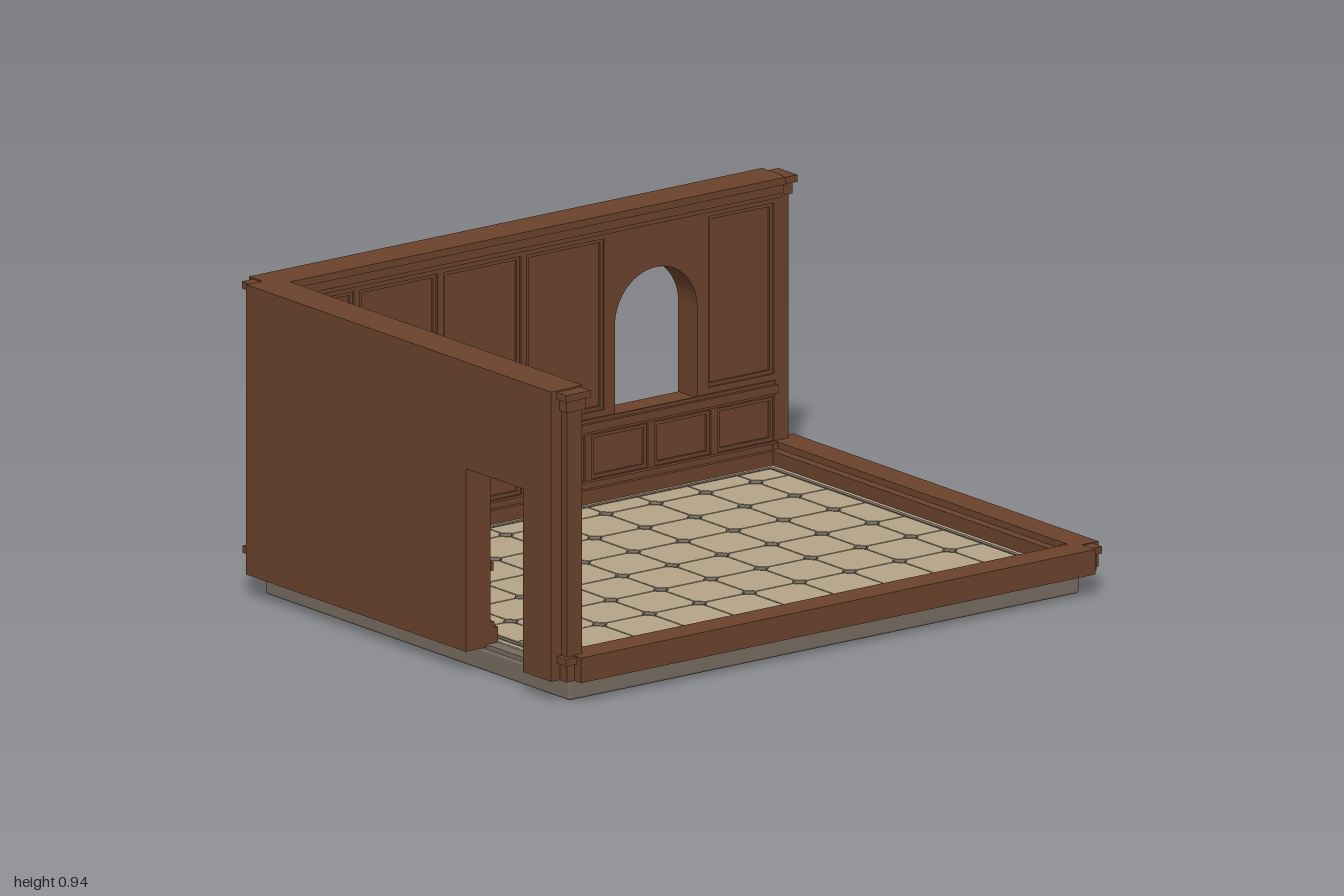
import * as THREE from 'three';
import { RoundedBoxGeometry } from 'three/addons/geometries/RoundedBoxGeometry.js';

const mat = (name, color) => Object.assign(new THREE.MeshStandardMaterial({ color }), { name });

export function createModel() {
  const wood = mat('brown wood', 0x6b422c);
  const stone = mat('grey stone', 0x766c60);
  const tile = mat('beige tile', 0xb5a488);
  const room = new THREE.Group();
  room.name = 'room';

  const add = (parent, name, geometry, material) => {
    const m = new THREE.Mesh(geometry, material);
    m.name = name;
    parent.add(m);
    return m;
  };
  // box given by its min and max on each axis
  const box = (parent, name, material, x0, x1, y0, y1, z0, z1) => {
    const m = add(parent, name, new THREE.BoxGeometry(x1 - x0, y1 - y0, z1 - z0), material);
    m.position.set((x0 + x1) / 2, (y0 + y1) / 2, (z0 + z1) / 2);
    return m;
  };
  const poly = (pts, Type = THREE.Shape) => new Type(pts.map(p => new THREE.Vector2(...p)));
  const rect = ([x0, x1, y0, y1], Type) => poly([[x0, y0], [x1, y0], [x1, y1], [x0, y1]], Type);
  const plate = (parent, name, material, shape, z0, z1) => {
    const g = new THREE.ExtrudeGeometry(shape, { depth: z1 - z0, bevelEnabled: false, curveSegments: 16 });
    return add(parent, name, g.translate(0, 0, z0), material);
  };

  // ---- walls: drawn in (u, y), outer face at depth 0, room side towards +z
  const RECESS = 0.076, FACE = 0.09, LEDGE = 0.118;
  function makeWall(name, outlineShape, opening, panels, runs, baseRuns, crown) {
    const wall = new THREE.Group();
    wall.name = name;
    const core = outlineShape();
    if (opening) core.holes.push(opening());
    plate(wall, 'wallCore', wood, core, 0, RECESS);
    const frame = outlineShape();
    if (opening) frame.holes.push(opening());
    panels.forEach(p => frame.holes.push(rect(p, THREE.Path)));
    plate(wall, 'panelFrame', wood, frame, RECESS, FACE);
    // thin moulding inside each recessed panel
    panels.forEach(([a, b, c, d]) => {
      const w = 0.011, ring = rect([a, b, c, d]);
      ring.holes.push(rect([a + w, b - w, c + w, d - w], THREE.Path));
      plate(wall, 'panelMoulding', wood, ring, RECESS, RECESS + 0.008);
    });
    // chair rail
    runs.forEach(([a, b]) => {
      box(wall, 'chairRail', wood, a, b, 0.293, 0.318, FACE, FACE + 0.018);
      box(wall, 'chairRailBack', wood, a, b, 0.283, 0.328, FACE, FACE + 0.007);
    });
    // skirting
    baseRuns.forEach(([a, b]) => {
      box(wall, 'skirting', wood, a, b, 0.07, 0.125, FACE, LEDGE);
      box(wall, 'skirtingTop', wood, a, b, 0.125, 0.143, FACE, FACE + 0.015);
    });
    // stepped crown moulding
    [[0.875, 0.89, 0.008], [0.89, 0.918, 0.018], [0.918, 0.94, 0.028]].forEach(([y0, y1, d]) =>
      box(wall, 'crownMoulding', wood, crown[0], crown[1], y0, y1, FACE, FACE + d));
    room.add(wall);
    return wall;
  }

  // back wall with the arched window
  const backPanels = [];
  for (let i = 0; i < 4; i++) backPanels.push([-0.91 + i * 0.305, -0.91 + i * 0.305 + 0.283, 0.347, 0.86]);
  backPanels[0][0] = -0.909;
  backPanels.push([0.668, 0.908, 0.347, 0.86]);
  for (let i = 0; i < 8; i++) backPanels.push([-0.909 + i * 0.2305, -0.909 + i * 0.2305 + 0.204, 0.145, 0.277]);
  const archWindow = () => {
    const p = new THREE.Path();
    p.moveTo(0.327, 0.322);
    p.lineTo(0.628, 0.322);
    p.lineTo(0.628, 0.592);
    p.absarc(0.4775, 0.592, 0.1505, 0, Math.PI, false);
    p.lineTo(0.327, 0.322);
    return p;
  };
  const back = makeWall('backWall', () => rect([-0.94, 0.935, 0.07, 0.94]), archWindow, backPanels,
    [[-0.91, 0.91]], [[-0.91, 0.935]], [-0.91, 0.93]);
  back.position.z = -0.783;

  // left wall with the doorway (u = -z)
  const sidePanels = [[-0.697, -0.622, 0.345, 0.86], [-0.697, -0.622, 0.145, 0.277]];
  for (let i = 0; i < 3; i++) sidePanels.push([-0.277 + i * 0.334, -0.277 + i * 0.334 + 0.303, 0.345, 0.86]);
  for (let i = 0; i < 4; i++) sidePanels.push([-0.277 + i * 0.249, -0.277 + i * 0.249 + 0.224, 0.145, 0.277]);
  sidePanels.forEach(p => { p[1] = Math.min(p[1], 0.692); });
  const doorOutline = () => poly([[-0.72, 0.07], [-0.587, 0.07], [-0.587, 0.62], [-0.318, 0.62],
    [-0.318, 0.07], [0.72, 0.07], [0.72, 0.94], [-0.72, 0.94]]);
  const left = makeWall('leftWall', doorOutline, null, sidePanels,
    [[-0.7, -0.6], [-0.308, 0.69]], [[-0.72, -0.587], [-0.318, 0.69]], [-0.715, 0.69]);
  left.rotation.y = Math.PI / 2;
  left.position.x = -1;

  // ---- low kerbs on the two open sides
  box(room, 'frontKerb', wood, -0.94, 0.94, 0.07, 0.145, 0.69, 0.783);
  box(room, 'frontKerbLedge', wood, -0.91, 0.91, 0.07, 0.125, 0.665, 0.69);
  box(room, 'rightKerb', wood, 0.91, 1, 0.07, 0.145, -0.72, 0.72);
  box(room, 'rightKerbLedge', wood, 0.882, 0.91, 0.07, 0.125, -0.69, 0.69);

  // ---- corner posts
  [[-1, -1, 0.94], [1, -1, 0.94], [-1, 1, 0.94], [1, 1, 0.14]].forEach(([sx, sz, top]) => {
    const post = new THREE.Group();
    post.name = 'cornerPost';
    post.position.set(sx * 0.935, 0, sz * 0.72);
    const block = (name, h, y0, y1) => box(post, name, wood, -h, h, y0, y1, -h, h);
    block('postBase', 0.033, 0.07, 0.122);
    block('postBaseCap', 0.044, 0.122, 0.143);
    if (top > 0.5) {
      block('postShaft', 0.027, 0.143, 0.88);
      block('capitalNeck', 0.035, 0.88, 0.915);
      block('capital', 0.045, 0.915, 0.936);
    }
    room.add(post);
  });

  // ---- floor slab and tiles
  const slab = add(room, 'floorSlab', new RoundedBoxGeometry(1.864, 0.065, 1.436, 2, 0.008), stone);
  slab.position.y = 0.0325;
  box(room, 'groutBed', stone, -0.925, 0.925, 0.055, 0.079, -0.71, 0.71);

  const floor = new THREE.Group();
  floor.name = 'tiledFloor';
  floor.rotation.x = -Math.PI / 2; // shapes are drawn in (x, -z)
  room.add(floor);
  const ring = (name, material, x, z, w, y) => {
    const s = rect([-x, x, -z, z]);
    s.holes.push(rect([w - x, x - w, w - z, z - w], THREE.Path));
    plate(floor, name, material, s, 0.07, y);
  };
  ring('outerBorder', tile, 0.885, 0.67, 0.016, 0.083);
  ring('stoneBorder', stone, 0.867, 0.652, 0.014, 0.085);

  const P = 0.1827, gap = 0.0025, cut = 0.024;
  const xs = [-0.85], zs = [-0.635];
  for (let i = -4; i <= 4; i++) xs.push(i * P);
  for (let i = -3; i <= 3; i++) zs.push(i * P);
  xs.push(0.85);
  zs.push(0.635);
  const tiles = [];
  for (let i = 0; i < xs.length - 1; i++) for (let j = 0; j < zs.length - 1; j++) {
    const a = xs[i] + gap, b = xs[i + 1] - gap, c = zs[j] + gap, d = zs[j + 1] - gap;
    // corners are clipped only where a diamond sits
    const iL = i > 0, iR = i < xs.length - 2, jL = j > 0, jR = j < zs.length - 2;
    const pts = [];
    pts.push(...(iL && jL ? [[a, c + cut], [a + cut, c]] : [[a, c]]));
    pts.push(...(iR && jL ? [[b - cut, c], [b, c + cut]] : [[b, c]]));
    pts.push(...(iR && jR ? [[b, d - cut], [b - cut, d]] : [[b, d]]));
    pts.push(...(iL && jR ? [[a + cut, d], [a, d - cut]] : [[a, d]]));
    tiles.push(poly(pts));
  }
  plate(floor, 'floorTiles', tile, tiles, 0.075, 0.085);

  const diamonds = [], r = 0.022;
  for (let i = -4; i <= 4; i++) for (let j = -3; j <= 3; j++) {
    const x = i * P, z = j * P;
    diamonds.push(poly([[x - r, z], [x, z - r], [x + r, z], [x, z + r]]));
  }
  plate(floor, 'diamondInlays', stone, diamonds, 0.075, 0.085);

  return room;
}
